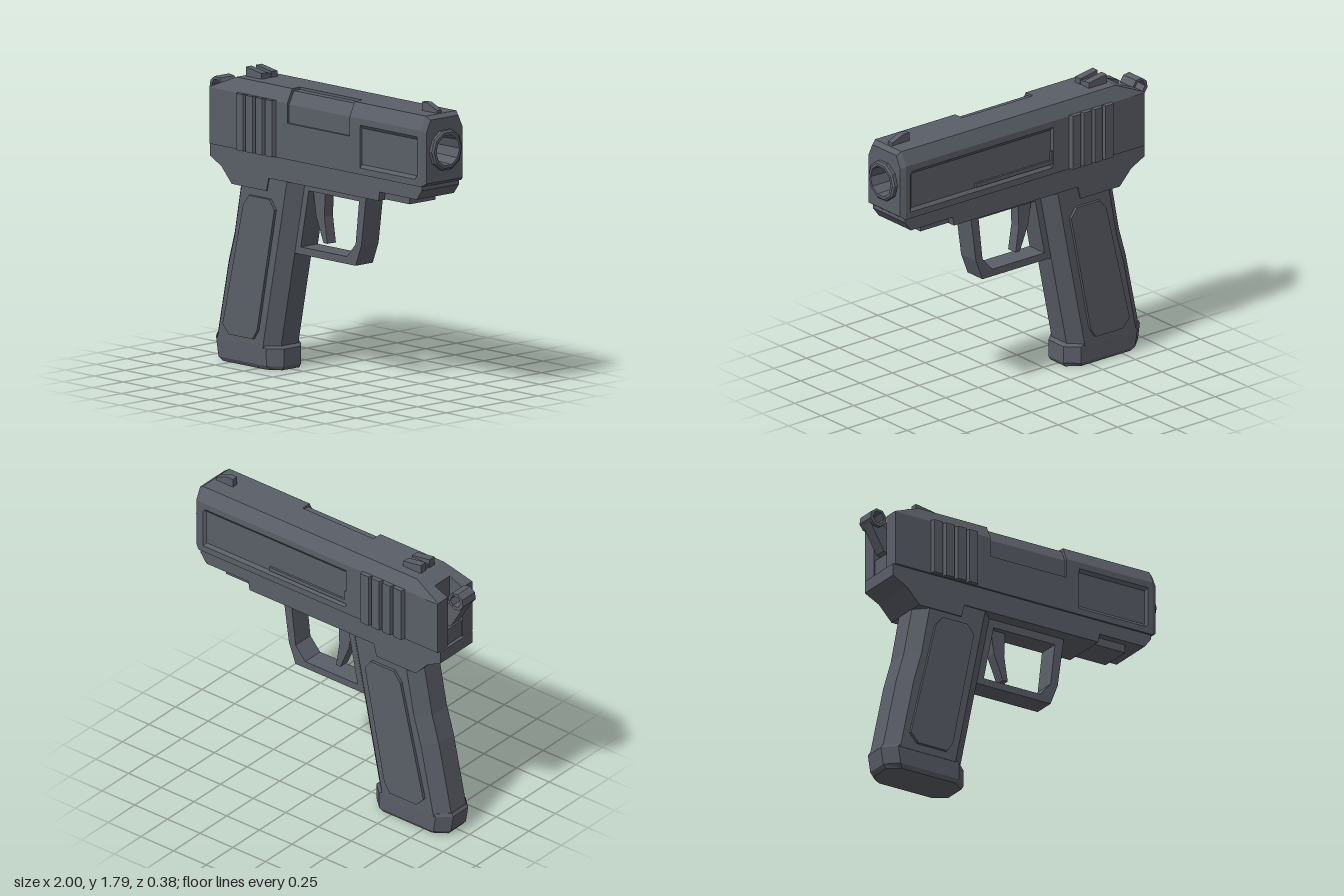
import * as THREE from 'three';

export function createModel() {
  const model = new THREE.Group();
  const steel = new THREE.MeshStandardMaterial({ color: 0x5a5e67 });
  steel.name = 'dark steel';

  // Adds a faceted part
  function add(name, geometry) {
    const g = geometry.index ? geometry.toNonIndexed() : geometry;
    g.computeVertexNormals();
    const mesh = new THREE.Mesh(g, steel);
    mesh.name = name;
    model.add(mesh);
    return mesh;
  }

  // Skins a row of equal-length [x, y, z] loops; ends are closed as fans
  function loft(loops, capStart = true, capEnd = true) {
    const pos = [];
    const n = loops[0].length;
    const tri = (a, b, c) => pos.push(...a, ...b, ...c);
    const centre = (l) => [0, 1, 2].map((k) => l.reduce((s, p) => s + p[k], 0) / n);
    for (let j = 0; j < loops.length - 1; j++) {
      const a = loops[j], b = loops[j + 1];
      for (let i = 0; i < n; i++) {
        const k = (i + 1) % n;
        tri(a[i], b[i], b[k]);
        tri(a[i], b[k], a[k]);
      }
    }
    const first = loops[0], last = loops[loops.length - 1];
    for (let i = 0; i < n; i++) {
      const k = (i + 1) % n;
      if (capStart) tri(centre(first), first[i], first[k]);
      if (capEnd) tri(centre(last), last[k], last[i]);
    }
    const g = new THREE.BufferGeometry();
    g.setAttribute('position', new THREE.Float32BufferAttribute(pos, 3));
    return g;
  }

  // Side profile in x, y given thickness from z0 to z1
  function plate(name, points, z0, z1, hole) {
    const shape = new THREE.Shape(points.map((p) => new THREE.Vector2(...p)));
    if (hole) shape.holes.push(new THREE.Path(hole.map((p) => new THREE.Vector2(...p))));
    const g = new THREE.ExtrudeGeometry(shape, { depth: z1 - z0, bevelEnabled: false });
    return add(name, g.translate(0, 0, z0));
  }

  function box(name, x0, x1, y0, y1, z0, z1) {
    const g = new THREE.BoxGeometry(x1 - x0, y1 - y0, z1 - z0);
    return add(name, g.translate((x0 + x1) / 2, (y0 + y1) / 2, (z0 + z1) / 2));
  }

  const ring = (cx, cy, r, n, turn = 0) => Array.from({ length: n }, (_, i) => {
    const a = ((i + turn) / n) * Math.PI * 2;
    return [cx + r * Math.cos(a), cy + r * Math.sin(a)];
  });

  // Slide: one cross-section, with optional port cut and side recesses
  const H = 0.165;
  function section(x, { port = 0, left = 0, right = 0, top = 1.735, topW = 0.125, scale = 1 } = {}) {
    const pts = [
      [H, 1.31], [H, 1.35], [H - left, 1.37],
      port ? [H, 1.53] : [H - left, 1.59],
      port ? [H - port, 1.53] : [H, 1.61],
      [H - port, 1.65 - port / 2], [topW - port, top - port], [0.06, top - port], [0.06, top],
      [-topW, top], [-H, 1.65], [-H, 1.61], [-H + right, 1.59], [-H + right, 1.37], [-H, 1.35], [-H, 1.31],
    ];
    return pts.map(([z, y]) => [x, 1.52 + (y - 1.52) * scale, z * scale]);
  }
  const d = 0.015;
  const nose = section(0.97, { scale: 0.9 });
  add('slide', loft([
    section(-0.79, { top: 1.697, topW: 0.143 }),
    section(-0.7),
    section(-0.215), section(-0.215, { port: d }),
    section(-0.19, { port: d }), section(-0.18, { port: d, right: d }),
    section(0.325, { port: d, right: d }), section(0.325, { right: d }),
    section(0.415, { right: d }), section(0.417, { left: d, right: d }),
    section(0.89, { left: d, right: d }), section(0.905),
    section(0.94), nose,
  ], true, false));

  // Slide nose with the bore opening
  const face = new THREE.Shape(nose.map((p) => new THREE.Vector2(-p[2], p[1])));
  face.holes.push(new THREE.Path(ring(0, 1.52, 0.11, 10).map((p) => new THREE.Vector2(...p))));
  add('slideNose', new THREE.ShapeGeometry(face).rotateY(Math.PI / 2).translate(0.97, 0, 0));

  // Barrel with open bore
  const bore = [[0.125, -0.01], [0.125, 0.02], [0.112, 0.03], [0.095, 0.03], [0.08, -0.3], [0, -0.3]];
  add('barrel', new THREE.LatheGeometry(bore.map((p) => new THREE.Vector2(...p)), 10)
    .rotateZ(-Math.PI / 2).translate(0.97, 1.52, 0));

  // Rear cheeks either side of the hammer slot
  for (const s of [1, -1]) {
    const cheek = (x, top, w) => {
      const l = [[H, 1.31], [H, 1.65], [w, top], [0.07, top], [0.07, 1.31]].map(([z, y]) => [x, y, z * s]);
      return s > 0 ? l : l.reverse();
    };
    add('rearCheek', loft([cheek(-0.89, 1.655, 0.16), cheek(-0.79, 1.697, 0.143)]));

    // Gripping ribs
    for (let i = 0; i < 4; i++) {
      const x = -0.6 + i * 0.083;
      const rib = (y) => {
        const l = [[x + 0.04, 0.16], [x + 0.03, 0.192], [x - 0.03, 0.192], [x - 0.04, 0.16]]
          .map(([px, z]) => [px, y, z * s]);
        return s > 0 ? l : l.reverse();
      };
      add('slideRib', loft([rib(1.312), rib(1.655)]));
    }

    // Grip panels
    plate('gripPanel', [
      [-0.52, 0.178], [-0.48, 0.235], [-0.33, 0.985], [-0.375, 1.045],
      [-0.55, 1.045], [-0.6, 0.985], [-0.778, 0.235], [-0.725, 0.178],
    ], s > 0 ? 0.13 : -0.163, s > 0 ? 0.163 : -0.13);

    // Rear sight lobes
    plate('rearSight', [[-0.68, 1.72], [-0.545, 1.72], [-0.545, 1.77], [-0.68, 1.792]],
      s > 0 ? 0.018 : -0.065, s > 0 ? 0.065 : -0.018);
  }
  box('rearBlock', -0.88, -0.78, 1.31, 1.42, -0.08, 0.08);
  box('rearSightBase', -0.67, -0.55, 1.72, 1.76, -0.03, 0.03);
  plate('frontSight', [[0.795, 1.72], [0.925, 1.72], [0.925, 1.752], [0.84, 1.787], [0.795, 1.787]], -0.02, 0.02);

  // Slide catch on the far side
  box('slideCatch', -0.19, 0.4, 1.375, 1.4, -0.163, -0.145);
  box('slideCatchEnd', -0.19, -0.175, 1.375, 1.46, -0.163, -0.145);

  // Hammer: ring spur and arm
  plate('hammerRing', ring(-0.942, 1.638, 0.058, 8, 0.3), -0.06, 0.06, ring(-0.94, 1.64, 0.04, 6));
  plate('hammerArm', [[-0.985, 1.605], [-0.89, 1.44], [-0.8, 1.4], [-0.82, 1.56], [-0.895, 1.605], [-0.93, 1.59]],
    -0.04, 0.04);

  // Frame and accessory rail
  plate('frame', [
    [-0.9, 1.312], [-0.9, 1.235], [-0.8, 1.185], [-0.71, 1.09], [-0.41, 1.09], [-0.39, 1.17],
    [0.56, 1.17], [0.57, 1.225], [0.89, 1.225], [0.935, 1.285], [0.935, 1.312],
  ], -0.152, 0.152);
  box('rail', 0.55, 0.78, 1.175, 1.24, -0.105, 0.105);

  // Grip and foot: eight-sided sections up the handle
  const handle = (y, xb, xf, hw, c = 0.078) => [
    [xf - c, hw], [xb + c, hw], [xb, 0.07], [xb, -0.07],
    [xb + c, -hw], [xf - c, -hw], [xf, -0.07], [xf, 0.07],
  ].map(([x, z]) => [x, y, z]);
  add('grip', loft([
    handle(0.13, -0.92, -0.372, 0.145), handle(0.6, -0.822, -0.277, 0.145),
    handle(0.78, -0.77, -0.24, 0.145), handle(1.09, -0.712, -0.178, 0.145),
    handle(1.2, -0.69, -0.155, 0.145),
  ]));
  add('gripFoot', loft([
    handle(0, -0.895, -0.36, 0.125), handle(0.025, -0.915, -0.345, 0.14),
    handle(0.13, -0.932, -0.345, 0.142), handle(0.15, -0.92, -0.375, 0.142),
  ]));

  // Trigger guard and trigger
  plate('triggerGuard', [
    [-0.28, 0.725], [0.275, 0.725], [0.325, 0.855], [0.37, 1.18], [-0.2, 1.18],
  ], -0.07, 0.07, [
    [-0.2, 0.77], [0.2, 0.77], [0.275, 0.855], [0.305, 1.12], [-0.13, 1.12],
  ]);
  plate('trigger', [
    [-0.13, 1.13], [-0.105, 0.97], [-0.04, 0.812], [-0.007, 0.812], [-0.032, 0.97], [-0.025, 1.13],
  ], -0.035, 0.035);

  return model;
}
